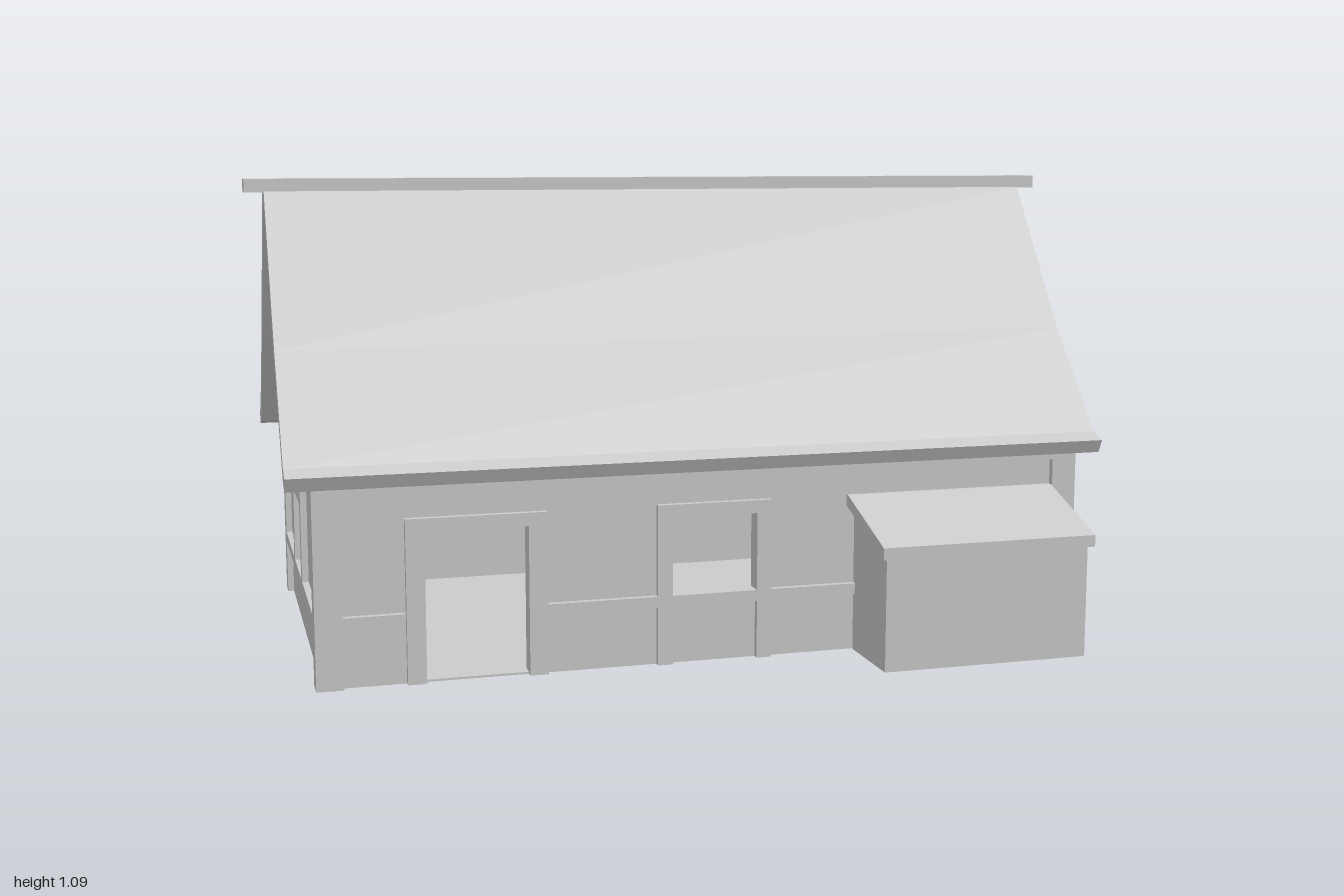
import * as THREE from 'three';

const material = new THREE.MeshStandardMaterial({ color: 0xcccccc, flatShading: true });
const ZC = -0.0975;            // depth of the ridge line
const HX = 0.9, HZ = 0.4925;   // half size of the house over its posts
const INSET = 0.015;           // wall panels lie behind the timbers
const WALL = 0.03;             // wall thickness
const EAVE = 0.455;

export function createModel() {
  const root = new THREE.Group();
  root.name = 'farmhouse';
  const house = new THREE.Group();
  house.name = 'house';
  house.position.z = ZC;
  root.add(house);

  const add = (parent, name, geometry) => {
    const mesh = new THREE.Mesh(geometry, material);
    mesh.name = name;
    parent.add(mesh);
    return mesh;
  };
  // Box given by its limits
  const box = (parent, name, x0, x1, y0, y1, z0, z1) => add(parent, name,
    new THREE.BoxGeometry(x1 - x0, y1 - y0, z1 - z0)
      .translate((x0 + x1) / 2, (y0 + y1) / 2, (z0 + z1) / 2));
  const shapeOf = (points) => new THREE.Shape(points.map(([x, y]) => new THREE.Vector2(x, y)));
  const rect = (x0, x1, y0, y1) => [[x0, y0], [x1, y0], [x1, y1], [x0, y1]];
  const extrude = (shape, depth) => new THREE.ExtrudeGeometry(shape, { depth, bevelEnabled: false });
  const mirrored = (half) => [...half, ...half.map(([x, y]) => [-x, y]).reverse()];
  // Profile in (z, y), extruded along x from x0 to x1
  const alongX = (shape, x0, x1) => extrude(shape, x1 - x0).rotateY(-Math.PI / 2).translate(x1, 0, 0);

  // Floor slab
  const wx = HX - INSET, wz = HZ - INSET;
  box(house, 'floor', -wx, wx, 0, 0.005, -wz, wz);

  // Front wall with doorway and window, plain back wall
  const front = shapeOf([[-wx, 0], [-0.66, 0], [-0.66, 0.34], [-0.43, 0.34], [-0.43, 0],
    [wx, 0], [wx, EAVE], [-wx, EAVE]]);
  front.holes.push(shapeOf(rect(-0.1, 0.1, 0.16, 0.34)));
  add(house, 'frontWall', extrude(front, WALL)).position.z = wz - WALL;
  box(house, 'backWall', -wx, wx, 0, EAVE, -wz, -wz + WALL);

  // Gable walls, each with a window
  const win = [-0.1025, 0.1025];
  const gable = shapeOf(mirrored([[wz, 0], [wz, 0.45], [0.463, 0.46], [0.257, 0.7], [0.024, 1.034]]));
  gable.holes.push(shapeOf(rect(win[0], win[1], 0.16, 0.34)));
  add(house, 'leftGableWall', alongX(gable, wx - WALL, wx));
  add(house, 'rightGableWall', alongX(gable, -wx, -wx + WALL));

  // Corner posts and the rails of the long sides
  const cx = HX - 0.06, cz = HZ - 0.055;
  for (const sx of [-1, 1]) {
    for (const sz of [-1, 1]) {
      const x = sx * (HX + cx) / 2, z = sz * (HZ + cz) / 2;
      box(house, 'cornerPost', x - 0.03, x + 0.03, 0, EAVE, z - 0.0275, z + 0.0275);
    }
  }
  const frontBeam = (name, x0, x1, y0, y1) => box(house, name, x0, x1, y0, y1, wz - 0.005, HZ);
  const backBeam = (name, y0, y1) => box(house, name, -cx, cx, y0, y1, -HZ, -wz + 0.005);
  frontBeam('frontTopRail', -cx, cx, 0.43, EAVE);
  backBeam('backTopRail', 0.43, EAVE);
  backBeam('backMiddleRail', 0.135, 0.16);
  for (const [x0, x1] of [[-cx, -0.705], [-0.39, -0.135], [-0.1, 0.1], [0.135, cx]]) {
    frontBeam('frontMiddleRail', x0, x1, 0.135, 0.16);
  }

  // Door and window frames
  for (const [name, x0, x1, w] of [['door', -0.66, -0.43, 0.042], ['window', -0.1, 0.1, 0.035]]) {
    frontBeam(name + 'Post', x0 - w, x0, 0, 0.37);
    frontBeam(name + 'Post', x1, x1 + w, 0, 0.37);
    frontBeam(name + 'Lintel', x0, x1, 0.34, 0.37);
  }

  // Gable timbers
  for (const s of [-1, 1]) {
    const beam = (name, z0, z1, y0, y1) => box(house, name,
      s > 0 ? wx - 0.005 : -HX, s > 0 ? HX : -wx + 0.005, y0, y1, z0, z1);
    beam('gableTopRail', -cz, cz, 0.43, 0.46);
    beam('gableMiddleRail', -cz, cz, 0.135, 0.16);
    beam('gableLintel', win[0], win[1], 0.34, 0.37);
    beam('gableWindowPost', win[0] - 0.035, win[0], 0.16, 0.43);
    beam('gableWindowPost', win[1], win[1] + 0.035, 0.16, 0.43);
  }

  // Roof band with flared eaves, and the ridge cap
  const outer = [[0.503, 0.444], [0.518, 0.475], [0.477, 0.49], [0.277, 0.72], [0.035, 1.065]];
  const inner = [[0.463, 0.457], [0.257, 0.7], [0.024, 1.034]];
  add(house, 'roof', alongX(shapeOf([...mirrored(outer), ...mirrored(inner).reverse()]), -0.955, 0.955));
  box(house, 'ridgeCap', -1, 1, 1.063, 1.094, -0.035, 0.035);

  // Lean-to shed on the front
  const shed = new THREE.Group();
  shed.name = 'shed';
  root.add(shed);
  add(shed, 'shedBody', alongX(shapeOf([[0.385, 0], [0.585, 0], [0.585, 0.28], [0.385, 0.35]]), 0.34, 0.835));
  add(shed, 'shedRoof', alongX(shapeOf([[0.385, 0.345], [0.615, 0.265], [0.615, 0.292], [0.395, 0.37],
    [0.385, 0.37]]), 0.32, 0.837));
  return root;
}
